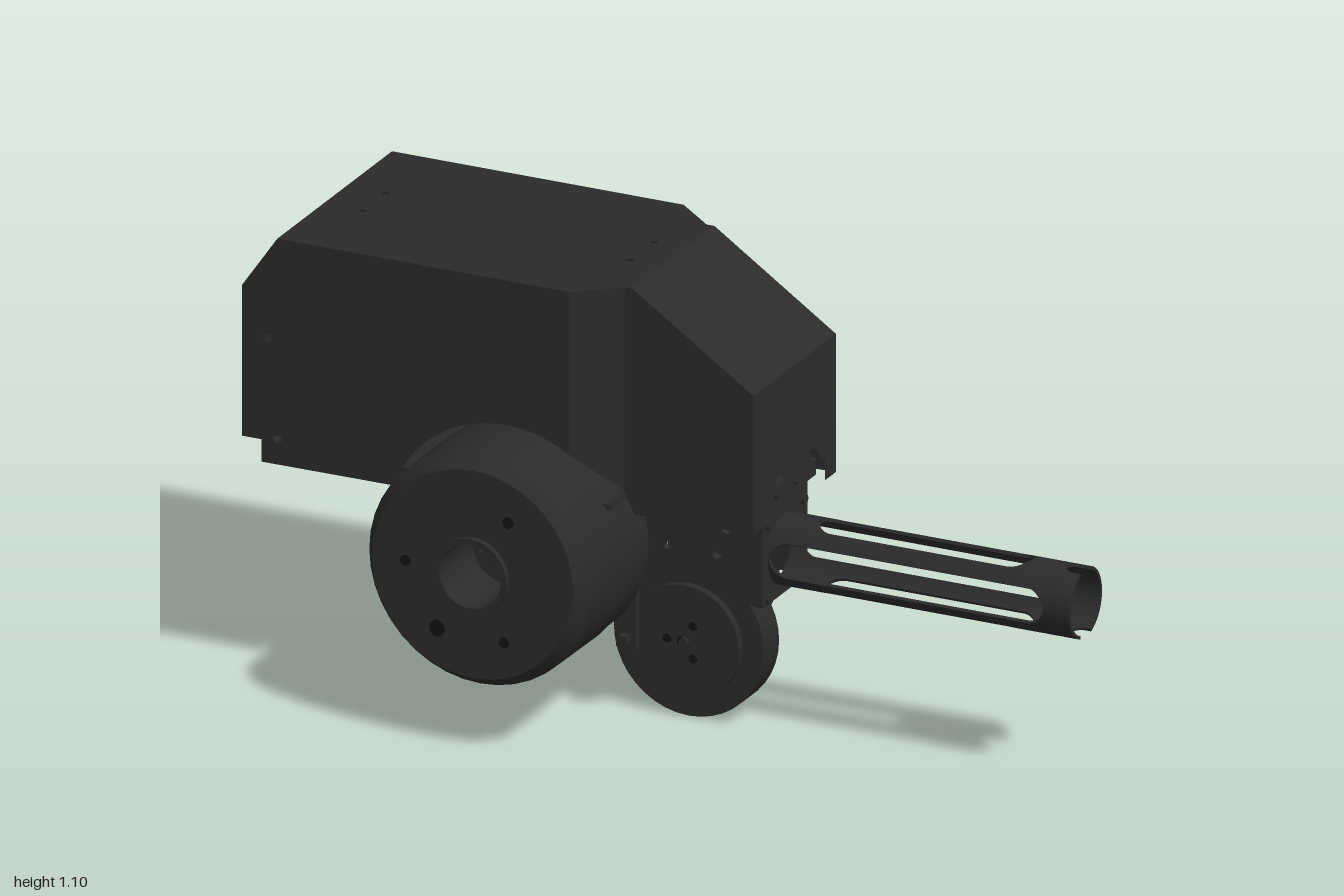
import * as THREE from 'three';

const paint = new THREE.MeshStandardMaterial({ color: 0x2b2b2b });
const sheetPaint = new THREE.MeshStandardMaterial({ color: 0x2b2b2b, side: THREE.DoubleSide });
const recess = new THREE.MeshStandardMaterial({ color: 0x121212 });
const WX = -0.33, WY = 0.44;            // main wheel axis
const SX = 0.01, SY = 0.19;             // small wheel axis
const BZ = -0.085;                      // barrel axis

const outline = pts => new THREE.Shape(pts.map(p => new THREE.Vector2(p[0], p[1])));
const hole = (x, y, r) => new THREE.Path().absarc(x, y, r, 0, Math.PI * 2, true);
const rectHole = (x0, y0, x1, y1) =>
  new THREE.Path([[x0, y0], [x0, y1], [x1, y1], [x1, y0]].map(p => new THREE.Vector2(...p)));

export function createModel() {
  const model = new THREE.Group();

  function add(parent, name, geo, x = 0, y = 0, z = 0, mat = paint) {
    const m = new THREE.Mesh(geo, mat);
    m.name = name;
    m.position.set(x, y, z);
    parent.add(m);
    return m;
  }
  function group(name) {
    const g = new THREE.Group();
    g.name = name;
    model.add(g);
    return g;
  }
  const box = (p, name, x0, x1, y0, y1, z0, z1) =>
    add(p, name, new THREE.BoxGeometry(x1 - x0, y1 - y0, z1 - z0), (x0 + x1) / 2, (y0 + y1) / 2, (z0 + z1) / 2);
  // thin flat sheet, placed in space by a mapping of its two coordinates
  function panel(p, name, shape, holes, map) {
    shape.holes.push(...holes);
    const g = new THREE.ShapeGeometry(shape, 10), a = g.attributes.position;
    for (let i = 0; i < a.count; i++) a.setXYZ(i, ...map(a.getX(i), a.getY(i)));
    g.computeVertexNormals();
    return add(p, name, g, 0, 0, 0, sheetPaint);
  }
  // plate standing in the xy plane
  function plate(p, name, shape, holes, z, depth) {
    shape.holes.push(...holes);
    return add(p, name, new THREE.ExtrudeGeometry(shape, { depth, bevelEnabled: false, curveSegments: 10 }), 0, 0, z);
  }
  // closed ring of [radius, z] points turned around a z axis
  function turned(p, name, pts, x, y) {
    const list = [];
    pts.forEach((a, i) => {             // doubled points keep the edges crisp
      const b = pts[(i + 1) % pts.length];
      list.push([a, b]);
    });
    const g = new THREE.Group();
    g.name = name;
    g.position.set(x, y, 0);
    p.add(g);
    for (const seg of list) {
      const geo = new THREE.LatheGeometry(seg.map(q => new THREE.Vector2(q[0], q[1])), 40);
      geo.rotateX(Math.PI / 2);
      add(g, name + 'Face', geo, 0, 0, 0, sheetPaint);
    }
    return g;
  }
  const rod = (p, name, r, x, y, z0, z1, mat = paint, sides = 20) =>
    add(p, name, new THREE.CylinderGeometry(r, r, z1 - z0, sides).rotateX(Math.PI / 2), x, y, (z0 + z1) / 2, mat);
  // curved strip of a tube along x, between two angles that may vary along it
  function tubeStrip(length, steps, r0, r1, angles) {
    const g = new THREE.BoxGeometry(1, 1, 1, steps, 10, 1), a = g.attributes.position;
    for (let i = 0; i < a.count; i++) {
      const x = (a.getX(i) + 0.5) * length, [a0, a1] = angles(x);
      const t = a0 + (a1 - a0) * (a.getY(i) + 0.5), r = a.getZ(i) > 0 ? r1 : r0;
      a.setXYZ(i, x, r * Math.sin(t), r * Math.cos(t));
    }
    g.computeVertexNormals();
    return g;
  }

  // Housing: thin sheet shell, wide at the rear, narrow sloping nose
  const housing = group('housing');
  const arch = (x) => WY + Math.sqrt(0.305 ** 2 - (x - WX) ** 2);
  const archPts = [];
  for (let i = 0; i <= 16; i++) { const x = -0.17 - i * 0.446 / 16; archPts.push([x, arch(x)]); }
  const upper = [[-0.95, 0.545], [-0.95, 0.6], [-1, 0.6], [-1, 0.97], [-0.91, 1.1], [-0.17, 1.1]];
  const sideHoles = () => [hole(-0.935, 0.85, 0.012), hole(-0.91, 0.607, 0.01)];
  panel(housing, 'frontWall', outline([...upper, ...archPts]), sideHoles(), (x, y) => [x, y, 0.203]);
  panel(housing, 'backWall', outline([...upper, [-0.17, 0.545]]), sideHoles(), (x, y) => [x, y, -0.39]);
  const noseTop = [[-0.07, 1.1], [-0.05, 1.1], [0.258, 0.89], [0.258, 0.55]];
  panel(housing, 'noseFront', outline([...noseTop, [-0.044, 0.545], [-0.07, 0.6]]), [], (x, y) => [x, y, 0.12]);
  panel(housing, 'noseBack', outline([...noseTop, [-0.07, 0.545]]), [], (x, y) => [x, y, -0.305]);
  panel(housing, 'frontShoulder', outline([[-0.17, 0.7], [-0.17, 1.1], [-0.07, 1.1], [-0.07, 0.6]]), [],
    (x, y) => [x, y, 0.203 - (x + 0.17) * 0.83]);
  panel(housing, 'backShoulder', outline([[-0.17, 0.545], [-0.17, 1.1], [-0.07, 1.1], [-0.07, 0.545]]), [],
    (x, y) => [x, y, -0.39 + (x + 0.17) * 0.85]);
  const topHoles = [-0.81, -0.13].flatMap(x => [-0.155, -0.035].map(z => hole(x, z, 0.009)));
  panel(housing, 'roof', outline([[-0.91, -0.39], [-0.17, -0.39], [-0.07, -0.305], [-0.05, -0.305],
    [-0.05, 0.12], [-0.07, 0.12], [-0.17, 0.203], [-0.91, 0.203]]), topHoles, (x, z) => [x, 1.1, z]);
  panel(housing, 'noseSlope', outline([[-0.05, -0.305], [0.258, -0.305], [0.258, 0.12], [-0.05, 0.12]]), [],
    (x, z) => [x, 1.1 - (x + 0.05) * 0.682, z]);
  const ears = new THREE.Shape().moveTo(-0.305, 0.89).lineTo(-0.305, 0.55).lineTo(-0.25, 0.55).lineTo(-0.25, 0.605).lineTo(-0.225, 0.605);
  ears.absarc(-0.18, 0.605, 0.045, Math.PI, 0, true).lineTo(-0.045, 0.605);
  ears.absarc(0, 0.605, 0.045, Math.PI, 0, true).lineTo(0.07, 0.605).lineTo(0.07, 0.55).lineTo(0.12, 0.55).lineTo(0.12, 0.89);
  panel(housing, 'noseEnd', ears, [], (z, y) => [0.258, y, z]);
  const rear = [[-0.39, 0.6], [0.203, 0.6], [0.203, 0.97], [-0.39, 0.97]];
  panel(housing, 'rearWall', outline(rear), [rectHole(-0.32, 0.79, 0.13, 0.89)], (z, y) => [-1, y, z]);
  panel(housing, 'rearSlope', outline([[-0.39, 0.97], [0.203, 0.97], [0.203, 1.1], [-0.39, 1.1]]), [],
    (z, y) => [-1 + (y - 0.97) * 0.692, y, z]);
  box(housing, 'rearSlotPlate', -0.985, -0.975, 0.76, 0.92, -0.35, 0.16);

  // Underside tray with ribs and small fittings
  const tray = group('tray');
  box(tray, 'floor', -0.95, -0.07, 0.575, 0.59, -0.38, 0.19);
  box(tray, 'noseFloor', -0.07, 0.2, 0.575, 0.59, -0.295, 0.11);
  for (const z of [-0.34, -0.22, 0.02, 0.15]) box(tray, 'rib', -0.95, -0.62, 0.55, 0.58, z - 0.012, z + 0.012);
  for (const x of [-0.94, -0.8, -0.66]) box(tray, 'crossRib', x, x + 0.025, 0.545, 0.58, -0.37, 0.18);
  for (const z of [-0.28, 0.1]) box(tray, 'peg', -0.9, -0.878, 0.52, 0.58, z, z + 0.03);

  // Main wheel with bored hub
  const wheel = group('mainWheel');
  turned(wheel, 'tyre', [[0.08, 0.375], [0.255, 0.375], [0.282, 0.335], [0.284, 0.13], [0.28, 0.125],
    [0.28, 0.035], [0.265, 0.02], [0.08, 0.02]].reverse(), WX, WY);
  turned(wheel, 'hubRing', [[0.078, 0.39], [0.092, 0.39], [0.092, 0.37], [0.078, 0.37]].reverse(), WX, WY);
  for (const [x, y, r] of [[-0.24, 0.583, 0.014], [-0.5, 0.445, 0.013], [-0.42, 0.293, 0.02], [-0.25, 0.287, 0.013]])
    rod(wheel, 'faceHole', r, x, y, 0.365, 0.377, recess);
  const rowHoles = c => [-0.054, -0.018, 0.018, 0.054].map(d => rectHole(c + d - 0.011, WY - 0.014, c + d + 0.011, WY + 0.014));
  const disc = new THREE.Shape().absarc(WX, WY, 0.085, 0, Math.PI * 2);
  plate(wheel, 'hubGrille', disc, rowHoles(WX), 0.2, 0.01);

  // Rear hub cage: two half sleeves with a ribbed slit and an end ring
  const cage = group('hubCage');
  for (const s of [0, 1]) {
    const strip = tubeStrip(0.24, 4, 0.08, 0.09, () => [s * Math.PI + 0.2, (s + 1) * Math.PI - 0.2]);
    strip.rotateX(Math.PI / 2).rotateX(-Math.PI / 2).rotateX(-Math.PI / 2).rotateX(Math.PI / 2);
    // the slit faces both ways along x
    strip.rotateX(0).rotateY(Math.PI / 2);
    add(cage, 'sleeve', strip, WX, WY, 0.03);
    for (const z of [-0.025, -0.06, -0.1, -0.14])
      box(cage, 'slitRib', WX + (s ? -0.09 : 0.08), WX + (s ? -0.08 : 0.09), 0.415, 0.465, z - 0.006, z + 0.006);
  }
  turned(cage, 'endRing', [[0.08, -0.19], [0.108, -0.19], [0.108, -0.22], [0.08, -0.22]].reverse(), WX, WY);

  // Small wheel: tread, hub steps and bolt pattern
  const small = group('smallWheel');
  turned(small, 'tread', [[0.01, -0.05], [0.19, -0.05], [0.19, -0.13], [0.01, -0.13]].reverse(), SX, SY);
  rod(small, 'frontDisc', 0.137, SX, SY, -0.05, -0.03, paint, 36);
  turned(small, 'pulley', [[0.01, -0.135], [0.115, -0.135], [0.122, -0.142], [0.122, -0.183], [0.115, -0.19], [0.01, -0.19]].reverse(), SX, SY);
  rod(small, 'backDisc', 0.105, SX, SY, -0.225, -0.13, paint, 36);
  const bolts = [[0, 0], [-0.045, 0], [0.02, 0.04], [0.02, -0.04], [-0.01, -0.0]];
  for (const [dx, dy] of bolts) rod(small, 'boltHole', 0.011, SX + dx, SY + dy, -0.04, -0.029, recess, 12);
  for (let i = 0; i < 5; i++) {
    const a = i * Math.PI * 0.4;
    rod(small, 'backHole', 0.018, SX + 0.065 * Math.cos(a), SY + 0.065 * Math.sin(a), -0.227, -0.215, recess, 14);
  }

  // Frame plates around the breech, wheel bracket and fittings
  const frame = group('frame');
  const frameHoles = () => [hole(-0.01, 0.44, 0.009), hole(0.115, 0.44, 0.011), hole(0.14, 0.51, 0.015)];
  plate(frame, 'frontPlate', outline([[-0.12, 0.575], [-0.12, 0.36], [0.11, 0.36], [0.14, 0.38], [0.175, 0.33],
    [0.225, 0.33], [0.225, 0.55], [0.2, 0.575]]), frameHoles(), 0.005, 0.015);
  const bracket = new THREE.Shape().moveTo(0.22, 0.575).lineTo(0.22, 0.33).lineTo(0.16, 0.33).lineTo(0.125, 0.22);
  bracket.absarc(SX, SY, 0.1, 0.2, Math.PI + 0.2, true).lineTo(-0.12, 0.28).lineTo(-0.12, 0.575);
  plate(frame, 'backPlate', bracket, frameHoles(), -0.22, 0.015);
  plate(frame, 'hubArm', outline([[-0.47, 0.58], [-0.46, 0.38], [-0.4, 0.32], [-0.26, 0.32], [-0.11, 0.38], [-0.11, 0.58]]),
    [hole(WX, WY, 0.082)], -0.21, 0.015);
  // muzzle-side plate, drawn across z and turned to face +x
  const face = new THREE.Shape().moveTo(-0.025, 0.33).lineTo(0.205, 0.33).lineTo(0.205, 0.56).lineTo(0.25, 0.56).lineTo(0.25, 0.6).lineTo(0.225, 0.6);
  face.absarc(0.18, 0.605, 0.043, 0, Math.PI, false).lineTo(0.045, 0.6);
  face.absarc(0, 0.605, 0.043, 0, Math.PI, false).lineTo(-0.07, 0.6).lineTo(-0.07, 0.56).lineTo(-0.025, 0.56);
  plate(frame, 'barrelPlate', face, [hole(-BZ, WY, 0.08)], 0, 0.02).rotation.y = Math.PI / 2;
  frame.children.at(-1).position.x = 0.215;
  for (const z of [0, -0.18]) for (const y of [0.345, 0.525])
    add(frame, 'screw', new THREE.CylinderGeometry(0.012, 0.012, 0.012, 12).rotateZ(Math.PI / 2), 0.238, y, z);
  for (const z of [-0.04, -0.14])
    add(frame, 'upperScrew', new THREE.CylinderGeometry(0.009, 0.009, 0.012, 12).rotateZ(Math.PI / 2), 0.238, 0.585, z);
  rod(frame, 'upperStub', 0.026, 0.05, 0.437, -0.3, -0.2);
  rod(frame, 'lowerStub', 0.03, -0.1, 0.295, -0.305, -0.2);
  rod(frame, 'axle', 0.011, SX, SY, -0.2, -0.02);
  box(frame, 'axleBracket', -0.14, -0.09, 0.17, 0.38, 0, 0.02);
  box(frame, 'bracketPin', -0.125, -0.105, 0.185, 0.205, -0.03, 0.04);

  // Slotted barrel: four rails whose edges follow round-ended slots
  const barrel = group('barrel');
  const R = 0.085, X0 = 0.22, L = 0.78;
  const slot = (x, a, b, h) => {
    const d = Math.max(a + h - x, x - b + h, 0);
    return d < h ? Math.sqrt(h * h - d * d) : 0;
  };
  const edge = h => Math.asin(Math.min(h / R, 1));
  for (let q = 0; q < 4; q++) {
    add(barrel, 'rail', tubeStrip(L, 130, 0.077, R, t => {
      const x = t + X0;
      const e = [edge(slot(x, 0.24, 0.93, 0.043)), edge(slot(x, 0.33, 0.865, 0.043) + slot(x, 0.955, 1.05, 0.028))];
      return [q * Math.PI / 2 + e[q % 2], (q + 1) * Math.PI / 2 - e[(q + 1) % 2]];
    }), X0, WY, BZ);
  }
  return model;
}
